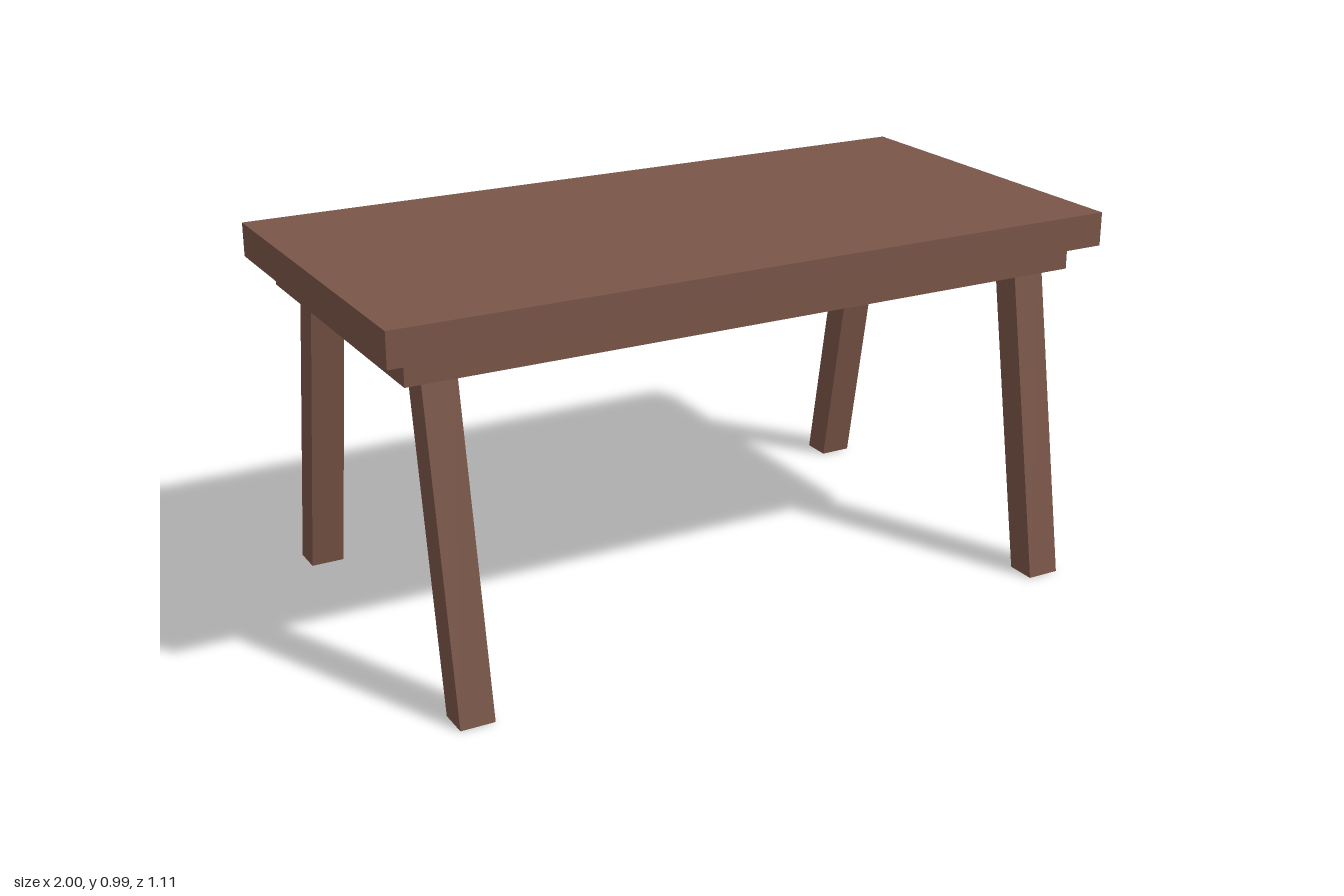
import * as THREE from 'three';

export function createModel() {
  const table = new THREE.Group();
  table.name = 'table';
  const wood = new THREE.MeshStandardMaterial({ color: 0x795548 });
  wood.name = 'brown wood';

  const add = (name, geometry, x, y, z) => {
    const mesh = new THREE.Mesh(geometry, wood);
    mesh.name = name;
    mesh.position.set(x, y, z);
    table.add(mesh);
    return mesh;
  };

  // Thick rectangular top
  add('tableTop', new THREE.BoxGeometry(2, 0.09, 1.003), 0, 0.945, 0);

  // Hollow apron frame under the top
  const rect = (Type, w, d) => new Type([
    new THREE.Vector2(-w, -d), new THREE.Vector2(w, -d),
    new THREE.Vector2(w, d), new THREE.Vector2(-w, d),
  ]);
  const frame = rect(THREE.Shape, 0.94, 0.444);
  frame.holes.push(rect(THREE.Path, 0.9, 0.404));
  const apron = new THREE.ExtrudeGeometry(frame, { depth: 0.07, bevelEnabled: false });
  apron.rotateX(-Math.PI / 2);
  add('apron', apron, 0, 0.83, 0);

  // Four legs with level ends, splayed outward to front and back
  const height = 0.9, lean = 0.177, inner = 0.473, outer = 0.555;
  for (const side of [-1, 1]) {
    for (const end of [-1, 1]) {
      const leg = new THREE.BoxGeometry(0.09, height, outer - inner);
      leg.translate(0, height / 2, 0);
      const p = leg.attributes.position;
      for (let i = 0; i < p.count; i++) p.setZ(i, p.getZ(i) - end * lean * p.getY(i));
      leg.computeVertexNormals();
      add((end > 0 ? 'front' : 'back') + (side > 0 ? 'Left' : 'Right') + 'Leg',
        leg, side * 0.842, 0, end * (inner + outer) / 2);
    }
  }
  return table;
}
